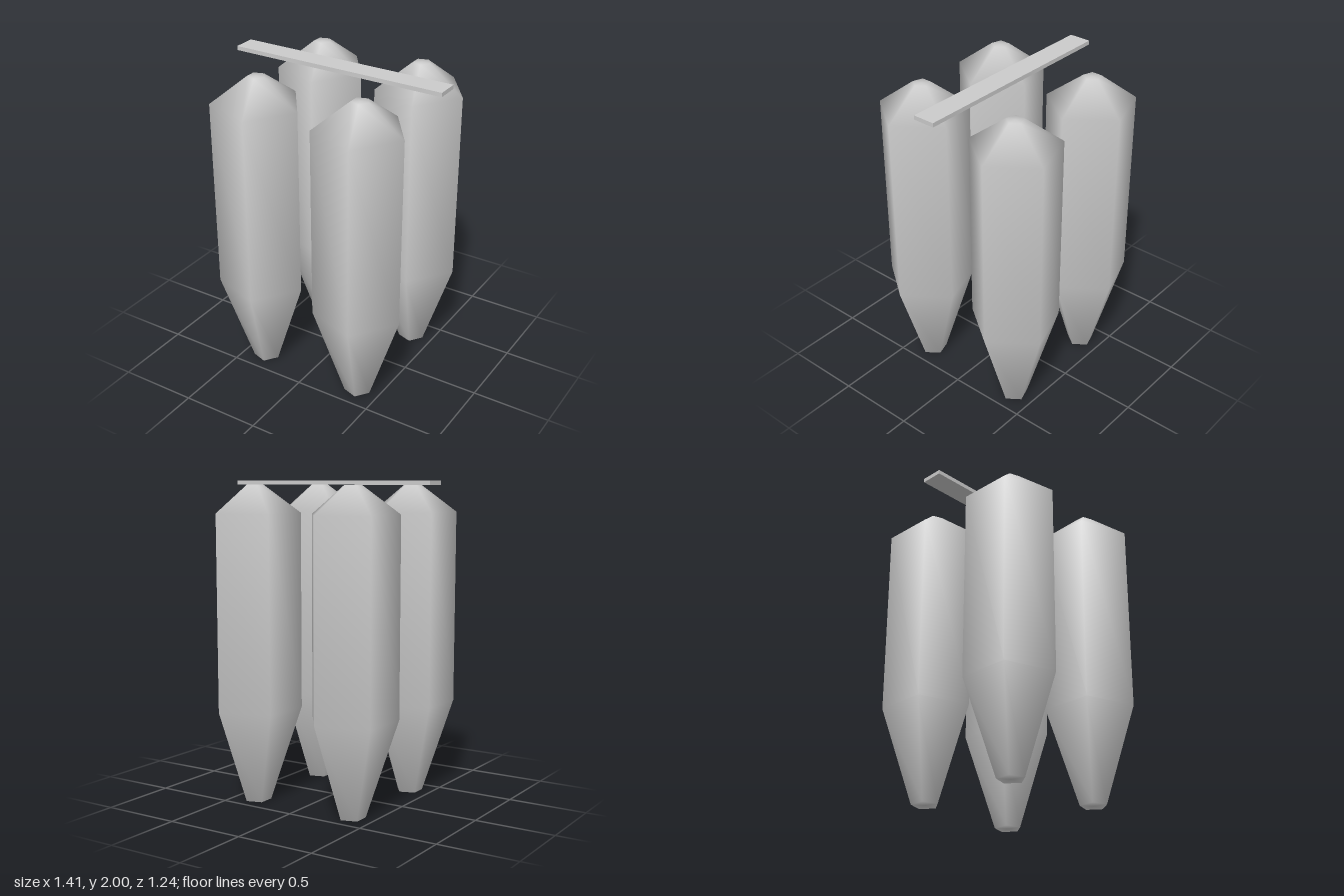
import * as THREE from 'three';

export function createModel() {
  const model = new THREE.Group();
  const material = new THREE.MeshStandardMaterial({ color: 0xcccccc });

  // Five-sided body: tapered foot, straight shaft, sloped shoulder, small flat top
  const profile = [
    [0, 0], [0.085, 0], [0.282, 0.595], [0.282, 1.805], [0.055, 1.975], [0, 1.975],
  ].map(([r, y]) => new THREE.Vector2(r, y));
  // One corner points to +x
  const bodyGeometry = new THREE.LatheGeometry(profile, 5, Math.PI / 2);

  // Four bodies in a square
  for (const [side, x] of [['Right', -0.353], ['Left', 0.351]]) {
    for (const [end, z] of [['front', 0.351], ['back', -0.355]]) {
      const body = new THREE.Mesh(bodyGeometry, material);
      body.name = `${end}${side}Body`;
      body.position.set(x, 0, z);
      model.add(body);
    }
  }

  // Flat bar across the middle at the top
  const bar = new THREE.Mesh(new THREE.BoxGeometry(1.406, 0.026, 0.14), material);
  bar.name = 'topBar';
  bar.position.set(0, 1.987, -0.003);
  model.add(bar);

  return model;
}
